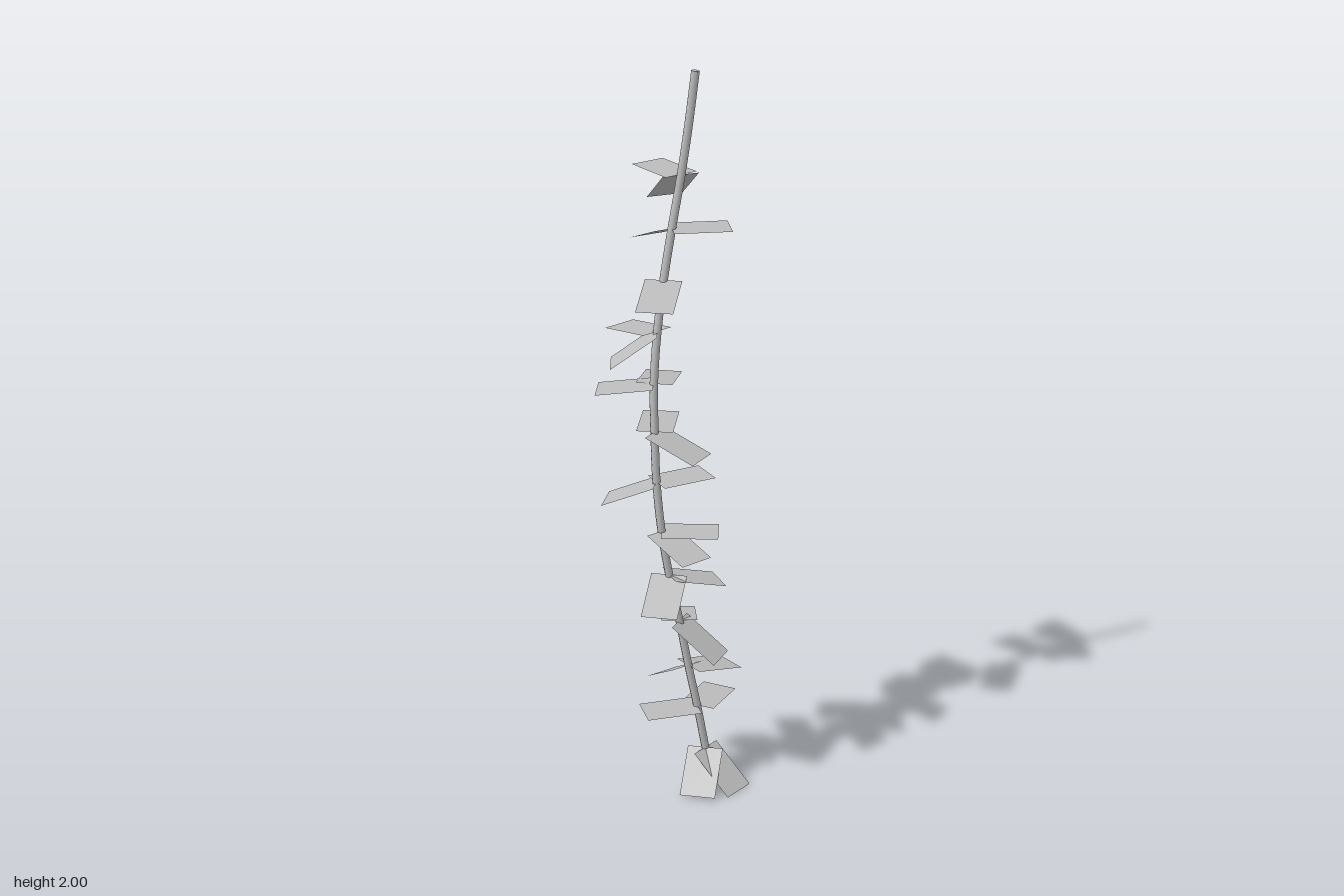
import * as THREE from 'three';

export function createModel() {
  const model = new THREE.Group();
  const grey = new THREE.MeshStandardMaterial({ color: 0xbcbcbc, side: THREE.DoubleSide });
  grey.name = 'plant grey';

  // Hanging stem: a gently winding tube with closed ends
  const path = new THREE.CatmullRomCurve3([
    [0.055, 0.1, 0.06], [0.033, 0.235, 0.05], [0.012, 0.36, 0.037], [-0.01, 0.5, 0.025],
    [-0.035, 0.64, 0.012], [-0.053, 0.77, 0.002], [-0.06, 0.91, -0.01], [-0.058, 1.05, -0.02],
    [-0.05, 1.18, -0.032], [-0.033, 1.32, -0.038], [-0.01, 1.455, -0.04], [0.016, 1.59, -0.038],
    [0.042, 1.73, -0.032], [0.057, 1.86, -0.021], [0.07, 2, -0.01],
  ].map((p) => new THREE.Vector3(...p)));
  const radius = 0.011;
  const stem = new THREE.Mesh(new THREE.TubeGeometry(path, 42, radius, 8), grey);
  stem.name = 'stem';
  model.add(stem);
  for (const t of [0, 1]) {
    const cap = new THREE.Mesh(new THREE.CircleGeometry(radius, 8), grey);
    const dir = path.getTangent(t).multiplyScalar(t ? 1 : -1);
    cap.position.copy(path.getPoint(t));
    cap.quaternion.setFromUnitVectors(new THREE.Vector3(0, 0, 1), dir);
    cap.name = t ? 'stemTop' : 'stemTip';
    model.add(cap);
  }

  // Leaf: a flat card hinged at the stem, pointing along +z
  const leafShape = new THREE.PlaneGeometry(0.098, 0.152).rotateX(-Math.PI / 2).translate(0, 0, 0.076);

  // Leaves at each joint from the bottom up: x and z of the direction, droop in degrees
  const joints = [
    [[-0.77, 0.64, 35], [0.2, 0.98, 39]],
    [[0.9, -0.43, 4], [-0.9, -0.4, 0]],
    [[0.08, -1, 30], [1, 0.02, 13]],
    [[0.6, -0.8, 12], [0.45, 0.9, 36]],
    [[0.95, 0.3, 15], [-0.77, 0.63, 25]],
    [[0, 1, 15], [0.75, 0.66, 0]],
    [[-0.63, -0.77, 23], [0.97, 0.2, 0]],
    [[0.7, -0.68, 0], [0.35, 0.94, 19]],
    [[0.76, -0.65, 7], [-0.72, -0.69, 7]],
    [[-0.77, -0.64, 36], [-0.05, -1, 7]],
    [[-0.75, 0.66, 15]],
    [[0.2, -0.98, 22], [0.85, 0.53, 0]],
    [[0.07, -1, 0], [0.32, -0.95, 36]],
  ];
  joints.forEach((leaves, i) => {
    for (const [dx, dz, droop] of leaves) {
      const leaf = new THREE.Mesh(leafShape, grey);
      leaf.name = 'leaf';
      leaf.position.copy(path.points[i]);
      leaf.rotation.order = 'YXZ';
      leaf.rotation.y = Math.atan2(dx, dz);
      leaf.rotation.x = THREE.MathUtils.degToRad(droop);
      model.add(leaf);
    }
  });
  return model;
}
